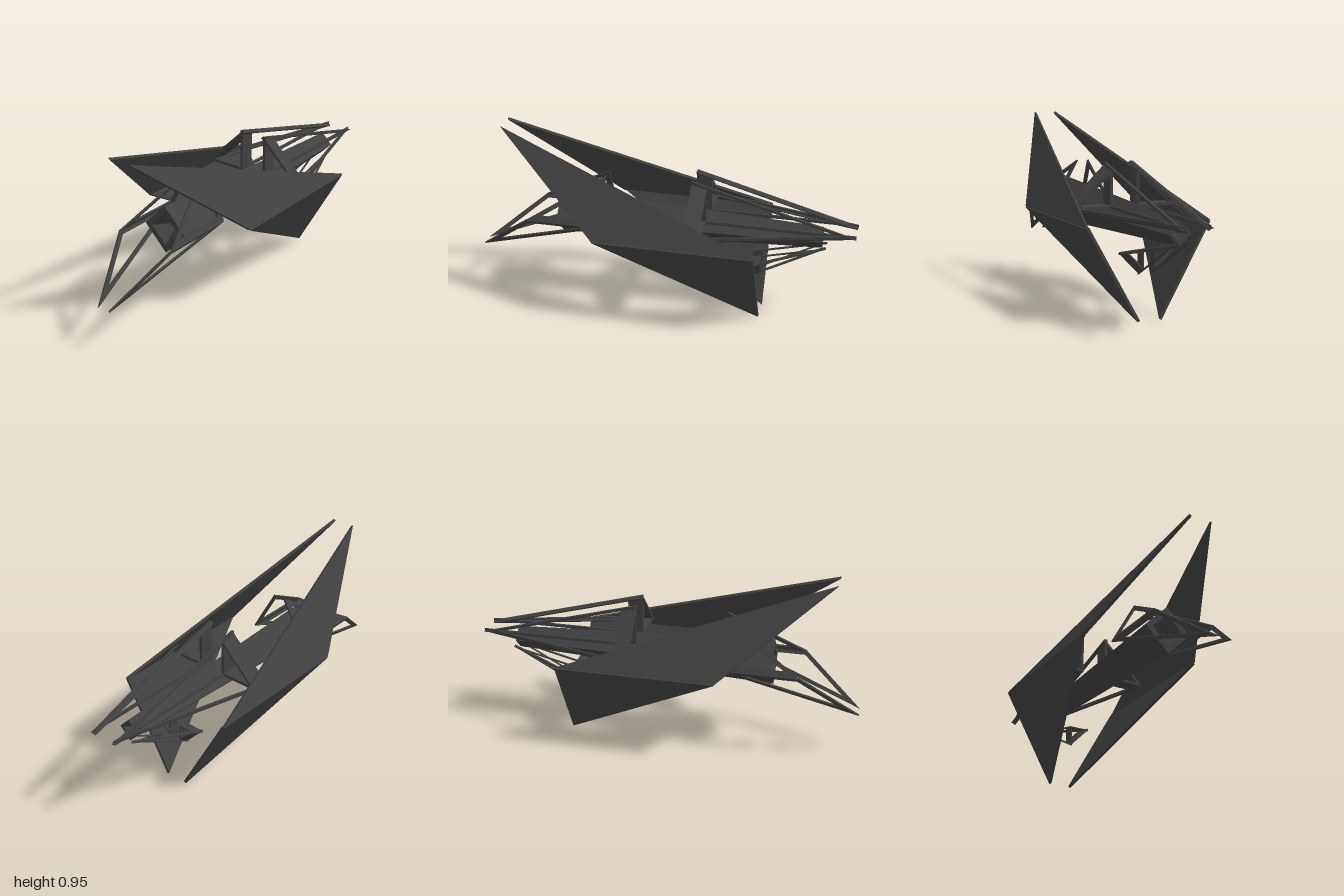
import * as THREE from 'three';

const V = (x, y, z) => new THREE.Vector3(x, y, z);
const material = new THREE.MeshStandardMaterial({ color: 0x404040, flatShading: true, side: THREE.DoubleSide });

// Triangular plate a-b-c of thickness t. With insets [ab, bc, ca] it becomes an open frame.
// It is centred on its plane, or thickened towards the point "inner".
function plate(name, [a, b, c], t, insets, inner) {
  const u = b.clone().sub(a).normalize();
  const n = u.clone().cross(c.clone().sub(a)).normalize();
  const v = n.clone().cross(u);
  const pts = [a, b, c].map(p => {
    const d = p.clone().sub(a);
    return new THREE.Vector2(d.dot(u), d.dot(v));
  });
  const shape = new THREE.Shape(pts);
  if (insets) {
    const dir = pts.map((p, i) => pts[(i + 1) % 3].clone().sub(p).normalize());
    const hole = pts.map((p, i) => {
      const prev = (i + 2) % 3;
      const sin = dir[prev].cross(dir[i]);
      return p.clone().addScaledVector(dir[i], insets[prev] / sin).addScaledVector(dir[prev], -insets[i] / sin);
    });
    shape.holes.push(new THREE.Path(hole.reverse()));
  }
  const geometry = new THREE.ExtrudeGeometry(shape, { depth: t, bevelEnabled: false });
  const offset = !inner ? -t / 2 : inner.clone().sub(a).dot(n) < 0 ? -t : 0;
  geometry.translate(0, 0, offset);
  geometry.applyMatrix4(new THREE.Matrix4().makeBasis(u, v, n).setPosition(a));
  const mesh = new THREE.Mesh(geometry, material);
  mesh.name = name;
  return mesh;
}

// Hollow three-sided spike: a solid collar at the base and slim edges running to the tip
function spike(name, base, tip, collar, edge, t) {
  const group = new THREE.Group();
  group.name = name;
  const inner = base.reduce((s, p) => s.add(p), tip.clone()).multiplyScalar(0.25);
  base.forEach((a, i) => {
    const b = base[(i + 1) % 3];
    const foot = new THREE.Line3(a, b).closestPointToPoint(tip, false, V(0, 0, 0));
    const height = foot.distanceTo(tip);
    group.add(plate(name + 'Side', [a, b, tip], t, [height * collar, edge, edge], inner));
  });
  return group;
}

export function createModel() {
  const model = new THREE.Group();

  // Tapered diamond-section hull with a recess at each end
  const profile = [[0, -0.45], [0.085, -0.55], [0.127, -0.55], [0.06, 0.83], [0.04, 0.83], [0, 0.77]];
  const hullGeometry = new THREE.LatheGeometry(profile.map(p => new THREE.Vector2(...p)), 4);
  hullGeometry.rotateZ(-Math.PI / 2);
  const hull = new THREE.Mesh(hullGeometry, material);
  hull.name = 'hull';
  hull.position.y = 0.477;
  model.add(hull);

  for (const s of [1, -1]) {
    const side = new THREE.Group();
    side.name = s > 0 ? 'frontSide' : 'backSide';
    const P = (x, y, z) => V(x, y, z * s);

    // Large swept plates meeting along a horizontal ridge
    const ridgeRear = P(-0.3, 0.477, 0.325), ridgeFront = P(0.525, 0.477, 0.325);
    side.add(plate('upperWing', [ridgeRear, ridgeFront, P(-0.855, 0.945, 0.058)], 0.015));
    side.add(plate('lowerWing', [ridgeRear, ridgeFront, P(0.525, 0.004, 0.058)], 0.015));

    // Open tail frames, folded along the same kind of ridge
    const tailRear = P(-0.7, 0.477, 0.165), tailFront = P(-0.3, 0.477, 0.165);
    side.add(plate('upperTailFrame', [tailRear, tailFront, P(-0.3, 0.715, 0.03)], 0.01, [0.03, 0.03, 0.022]));
    side.add(plate('lowerTailFrame', [tailRear, tailFront, P(-1, 0.24, 0.034)], 0.01, [0.02, 0.02, 0.022]));

    // Long upper spike and short lower spike pointing forward
    side.add(spike('upperSpike',
      [P(0.16, 0.75, 0.066), P(0.16, 0.521, 0.066), P(0.16, 0.521, 0.302)],
      P(1, 0.521, 0.066), 0.095, 0.012, 0.015));
    side.add(spike('lowerSpike',
      [P(0.47, 0.225, 0.032), P(0.47, 0.338, 0.032), P(0.47, 0.338, 0.142)],
      P(0.85, 0.432, 0.032), 0.14, 0.006, 0.008));

    model.add(side);
  }
  return model;
}
